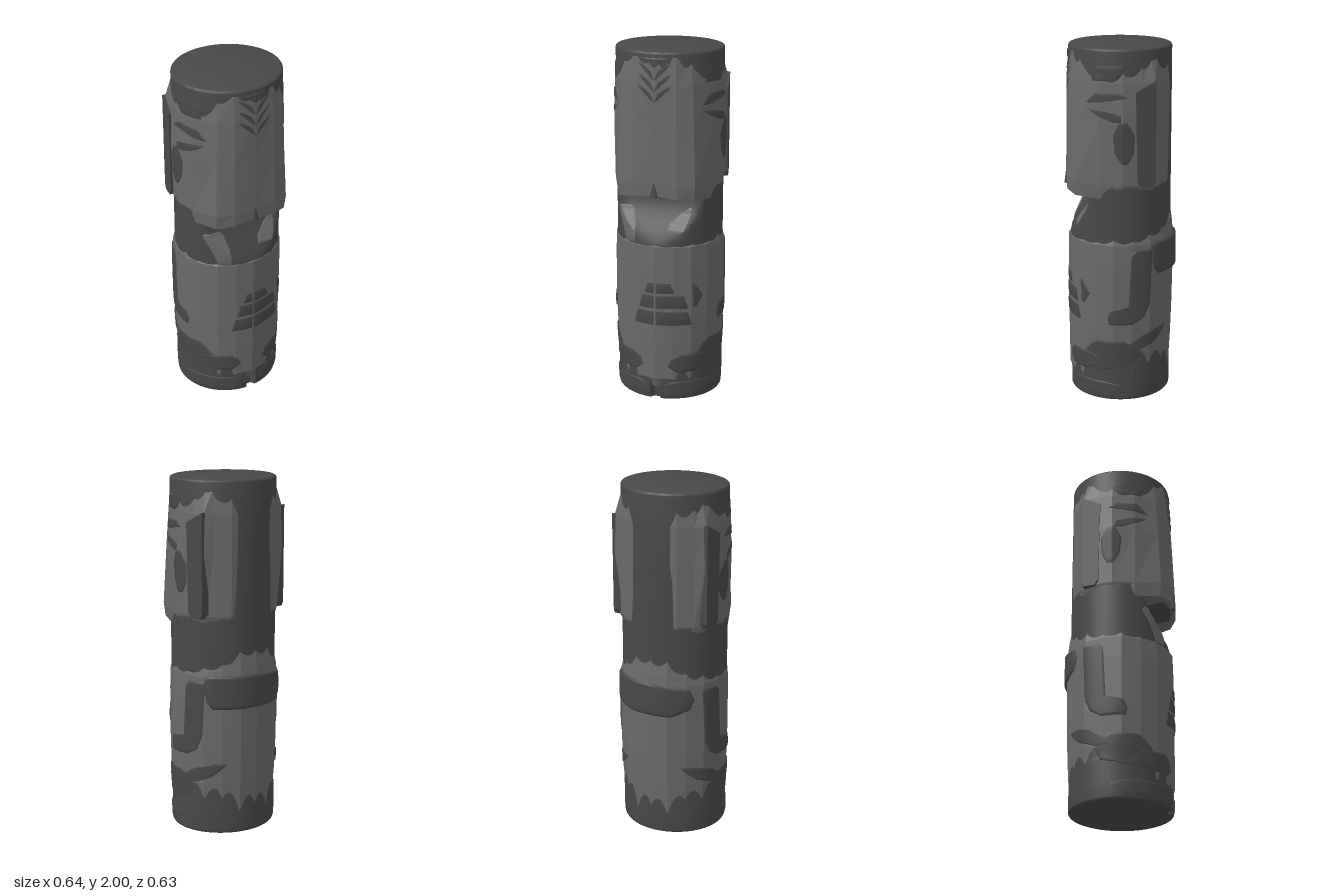
import * as THREE from 'three';
import { toCreasedNormals } from 'three/addons/utils/BufferGeometryUtils.js';

const rad = THREE.MathUtils.degToRad, lerp = THREE.MathUtils.lerp;
const clamp = THREE.MathUtils.clamp;
const dark = new THREE.MeshStandardMaterial({ color: 0x484848, side: THREE.DoubleSide });
const light = new THREE.MeshStandardMaterial({ color: 0x6a6a6a, flatShading: true, side: THREE.DoubleSide });

// Angles are in degrees around y: 0 is the front (+z), 90 is the left (+x).
const polar = (r, a, y) => new THREE.Vector3(r * Math.sin(rad(a)), y, r * Math.cos(rad(a)));

// Piecewise linear lookup in rows [x, value]
function lookup(rows, x) {
  if (x <= rows[0][0]) return rows[0][1];
  for (let i = 1; i < rows.length; i++) {
    const [x0, v0] = rows[i - 1], [x1, v1] = rows[i];
    if (x <= x1) return lerp(v0, v1, (x - x0) / (x1 - x0));
  }
  return rows[rows.length - 1][1];
}

// Closed skin through rings at the given heights, with flat ends
function loft(point, ys, angles) {
  const pos = [], idx = [], n = angles.length;
  for (const y of ys) for (const a of angles) pos.push(...point(a, y).toArray());
  for (let j = 0; j < ys.length - 1; j++) for (let i = 0; i < n; i++) {
    const k = (i + 1) % n, a = j * n + i, b = j * n + k;
    idx.push(a, b, b + n, a, b + n, a + n);
  }
  for (const [row, up] of [[0, false], [ys.length - 1, true]]) {
    const c = pos.length / 3;
    pos.push(0, ys[row], 0);
    for (let i = 0; i < n; i++) {
      const a = row * n + i, b = row * n + (i + 1) % n;
      idx.push(c, up ? a : b, up ? b : a);
    }
  }
  const g = new THREE.BufferGeometry();
  g.setAttribute('position', new THREE.Float32BufferAttribute(pos, 3));
  g.setIndex(idx);
  g.computeVertexNormals();
  return g;
}

// Core column: rounded rims, a slanted cut under the chin and a slot between the feet
const chin = [[0.92, 0.29], [1, 0.25], [1.1, 0.195], [1.17, 0.17], [1.19, 0.17], [1.2, 0.3]];
function corePoint(a, y) {
  const e = Math.max(0, 0.015 - Math.min(y, 2 - y));
  const s = 1 - (0.015 - Math.sqrt(Math.max(0, 0.015 ** 2 - e * e))) / 0.3;
  const p = new THREE.Vector3(0.3 * s * Math.sin(rad(a)), y, 0.285 * s * Math.cos(rad(a)));
  p.z = Math.min(p.z, lookup(chin, y));
  if (y < 0.115 && Math.abs(p.x) < 0.03) p.z = Math.min(p.z, 0.25);
  return p;
}

// Torso shell rows: height, then front, side and back radius
const torsoRows = [[0.07, 0.27, 0.26, 0.26], [0.13, 0.291, 0.29, 0.285], [0.3, 0.293, 0.305, 0.294],
  [0.5, 0.294, 0.312, 0.3], [0.8, 0.294, 0.312, 0.305], [0.92, 0.291, 0.308, 0.303],
  [0.98, 0.2, 0.29, 0.298], [1.12, 0.15, 0.26, 0.278]];
function torsoPoint(a, y) {
  const [f, s, b] = [1, 2, 3].map(i => lookup(torsoRows.map(r => [r[0], r[i]]), y));
  const c = Math.cos(rad(a));
  const r = lerp(s, c > 0 ? f : b, c * c) * (1 + 0.006 * Math.cos(rad(a * 9)));
  return polar(r, a, y);
}
const torsoAngles = Array.from({ length: 18 }, (_, i) => i * 20);

// Head shell: corner angles of one half, and corner radii per height
const half = [0, 23, 40, 66, 90, 110, 122, 132, 150, 165, 180];
const headRows = [
  [1.18, [0.302, 0.325, 0.335, 0.297, 0.28, 0.28, 0.28, 0.28, 0.26, 0.25, 0.25]],
  [1.26, [0.305, 0.328, 0.345, 0.308, 0.308, 0.308, 0.31, 0.3, 0.295, 0.27, 0.27]],
  [1.6, [0.298, 0.315, 0.325, 0.312, 0.318, 0.318, 0.335, 0.305, 0.298, 0.28, 0.275]],
  [1.82, [0.295, 0.305, 0.31, 0.305, 0.308, 0.312, 0.33, 0.305, 0.298, 0.28, 0.27]],
  [1.97, [0.286, 0.29, 0.285, 0.285, 0.285, 0.285, 0.285, 0.285, 0.28, 0.26, 0.26]]];
function headPoint(a, y) {
  const m = Math.abs(((a + 540) % 360) - 180);
  const r = half.map((_, i) => lookup(headRows.map(h => [h[0], h[1][i]]), y));
  let i = 0;
  while (i < half.length - 2 && m > half[i + 1]) i++;
  const s = d => Math.sin(rad(d));
  const rr = r[i] * r[i + 1] * s(half[i + 1] - half[i]) /
    (r[i] * s(m - half[i]) + r[i + 1] * s(half[i + 1] - m));
  // the lower edge rises toward the middle of the face
  const lift = 0.035 * Math.max(0, Math.cos(rad(a))) ** 4 * clamp((1.5 - y) / 0.3, 0, 1);
  return polar(rr, a, y + lift);
}
const headAngles = [...half, ...half.slice(1, -1).reverse().map(a => 360 - a)];

// Thin relief lying on a surface; rows are [height, start angle, end angle]
function relief(point, rows, offset = 0.004) {
  const cols = 18, sub = 4, pos = [], idx = [], lines = (rows.length - 1) * sub;
  for (let j = 0; j <= lines; j++) {
    const k = Math.min(Math.floor(j / sub), rows.length - 2), t = j / sub - k;
    const [y, a0, a1] = rows[k].map((v, i) => lerp(v, rows[k + 1][i], t));
    for (let i = 0; i <= cols; i++) {
      const a = lerp(a0, a1, i / cols), p = point(a, y), c = corePoint(a, y);
      if (point !== corePoint && Math.hypot(c.x, c.z) > Math.hypot(p.x, p.z)) p.copy(c);
      const rim = i === 0 || i === cols || j === 0 || j === lines;
      p.add(polar(rim ? offset * 0.3 : offset, a, 0));
      pos.push(p.x, p.y, p.z);
      if (j < lines && i < cols) {
        const n = j * (cols + 1) + i, m = n + cols + 1;
        idx.push(n, n + 1, m + 1, n, m + 1, m);
      }
    }
  }
  const g = new THREE.BufferGeometry();
  g.setAttribute('position', new THREE.Float32BufferAttribute(pos, 3));
  g.setIndex(idx);
  g.computeVertexNormals();
  return g;
}

export function createModel() {
  const model = new THREE.Group();
  const add = (name, geo, mat = dark) => {
    const mesh = new THREE.Mesh(geo, mat);
    mesh.name = name;
    model.add(mesh);
    return mesh;
  };
  const pair = (name, point, rows, offset, mat) => {
    add(name + 'Left', relief(point, rows, offset), mat);
    add(name + 'Right', relief(point, rows.map(([y, a, b]) => [y, -b, -a]), offset), mat);
  };

  // Main volumes
  const ring = Array.from({ length: 120 }, (_, i) => i * 3);
  const coreYs = [0, 0.004, 0.009, 0.015, 0.06, 0.11, 0.12, 0.5, 0.92, 0.95, 1, 1.05, 1.1, 1.17, 1.19, 1.2,
    1.6, 1.985, 1.991, 1.996, 2];
  add('column', toCreasedNormals(loft(corePoint, coreYs, ring), 0.7));
  add('torso', loft(torsoPoint, torsoRows.map(r => r[0]), torsoAngles), light);
  add('head', loft(headPoint, headRows.map(r => r[0]), headAngles), light);

  // Face: nose and brow marks
  const nose = add('nose', new THREE.ConeGeometry(0.022, 0.1, 8));
  nose.position.set(0, 1.26, 0.302);
  nose.scale.z = 0.6;
  add('browPeak', relief(headPoint, [[1.92, -1, 1], [1.95, -8, 8], [1.968, -15, 15]]));
  for (const y of [1.73, 1.79, 1.85])
    pair('browStripe', headPoint, [[y, 0, 0.5], [y + 0.05, 4, 11], [y + 0.09, 15, 19]], 0.003);

  // Hair bands, cheeks and ears
  pair('upperHairBand', headPoint, [[1.83, 57, 82], [1.87, 54, 90], [1.91, 62, 92]]);
  pair('middleHairBand', headPoint, [[1.71, 50, 56], [1.74, 56, 94], [1.77, 62, 86]]);
  pair('lowerHairBand', headPoint, [[1.61, 80, 88], [1.65, 62, 88], [1.68, 52, 62]]);
  pair('cheek', headPoint, [[1.38, 89, 95], [1.44, 82, 101], [1.54, 80, 102], [1.61, 86, 94]]);
  const earShape = new THREE.Shape([[0.08, 1.28], [0.1, 1.25], [0.165, 1.25], [0.18, 1.28],
    [0.18, 1.83], [0.07, 1.77]].map(p => new THREE.Vector2(...p)));
  for (const side of [1, -1]) {
    const geo = new THREE.ExtrudeGeometry(earShape, { depth: 0.06, bevelEnabled: false });
    geo.rotateY(Math.PI / 2); // shape x becomes -z, depth becomes x
    geo.translate(side > 0 ? 0.252 : -0.312, 0, 0);
    const p = geo.attributes.position;
    for (let i = 0; i < p.count; i++) p.setX(i, p.getX(i) + side * 0.17 * (p.getZ(i) + 0.07));
    geo.computeVertexNormals();
    add(side > 0 ? 'earLeft' : 'earRight', geo);
  }

  // Light facets on the cut under the chin
  add('chestFacetRight', relief(corePoint, [[0.93, -38, -24], [1.02, -46, -24], [1.1, -56, -28], [1.12, -54, -32]]), light);
  add('chestFacetLeft', relief(corePoint, [[1, 11, 30], [1.04, 12, 34], [1.1, 24, 38], [1.13, 34, 37]]), light);

  // Arms: bent relief on the sides, a raised roll across the back
  pair('arm', torsoPoint, [[0.46, 76, 100], [0.5, 74, 113], [0.55, 78, 117], [0.57, 96, 119], [0.86, 99, 122], [0.89, 104, 122]], 0.005);
  add('backRoll', relief(torsoPoint, [[0.74, 130, 205], [0.78, 124, 224], [0.84, 122, 229], [0.9, 122, 224], [0.93, 126, 180]], 0.014));

  // Belly squares
  [[0.46, 0.54, -25, 41], [0.56, 0.635, -19, 37], [0.65, 0.71, -12, 22]].forEach(([y0, y1, a, b]) => {
    add('bellySquareRight', relief(torsoPoint, [[y0, a, -1], [y1, a + 4, -1]]));
    add('bellySquareLeft', relief(torsoPoint, [[y0, 1, b], [y1, 1, b - 5]]));
  });
  add('bellyTip', relief(torsoPoint, [[0.57, 42, 46], [0.63, 42, 54], [0.7, 40, 44]]));

  // Knees, legs and feet
  pair('knee', torsoPoint, [[0.17, 24, 44], [0.21, 14, 64], [0.25, 18, 66], [0.28, 26, 56]], 0.006);
  pair('leg', torsoPoint, [[0.18, 50, 62], [0.22, 46, 104], [0.28, 46, 108], [0.33, 54, 100], [0.36, 62, 92]]);
  pair('legStrap', torsoPoint, [[0.29, 94, 102], [0.34, 96, 128], [0.39, 110, 140], [0.42, 130, 146]]);
  pair('foot', torsoPoint, [[0.02, 9, 80], [0.09, 9, 92], [0.11, 20, 70]], 0.005);
  pair('heel', torsoPoint, [[0.03, 92, 150], [0.16, 98, 135], [0.24, 104, 114]], 0.003);
  return model;
}
